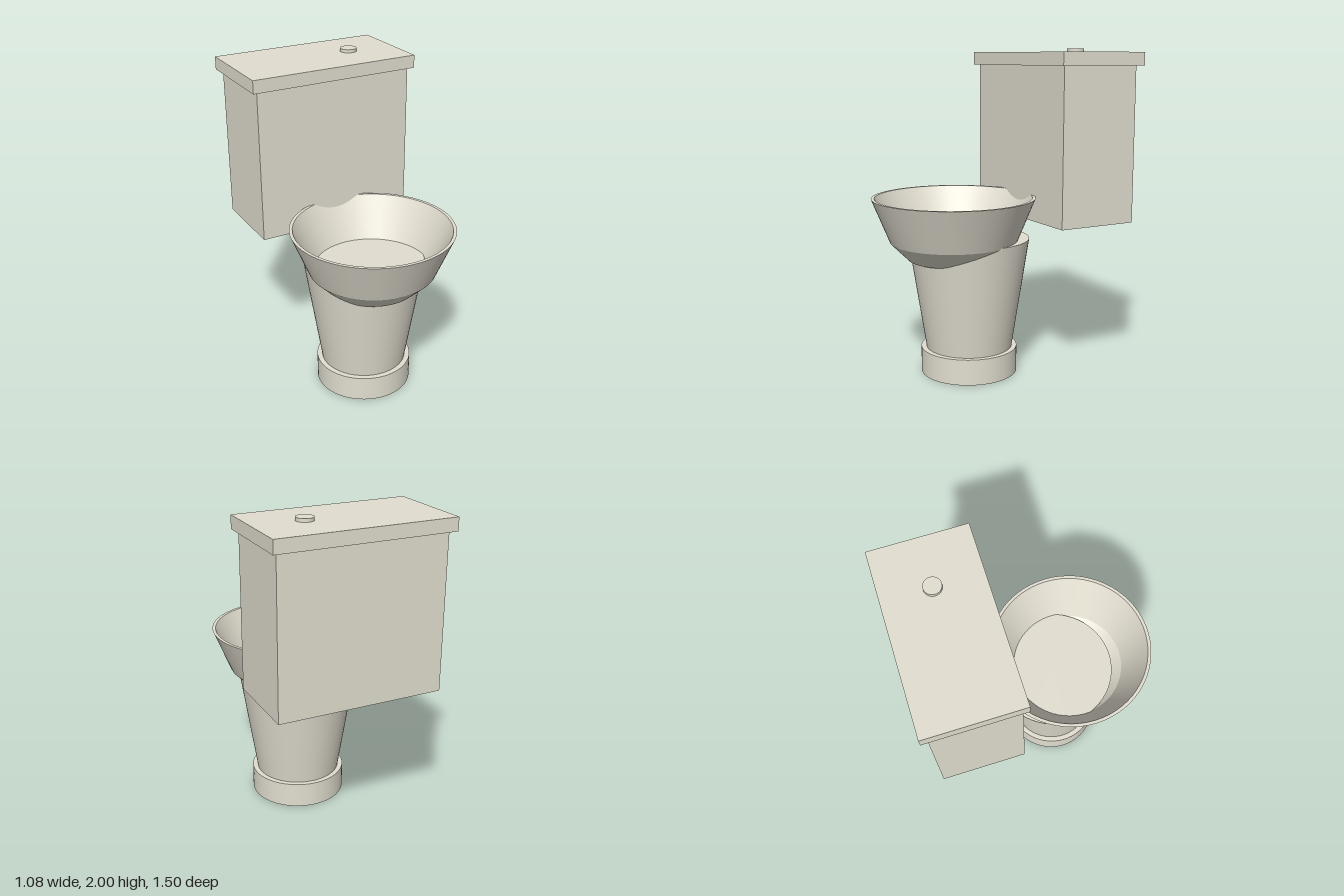
import * as THREE from 'three';
import { toCreasedNormals } from 'three/addons/utils/BufferGeometryUtils.js';

export function createModel() {
  const group = new THREE.Group();
  group.name = 'toilet';
  const porcelain = new THREE.MeshStandardMaterial({ color: 0xe2ded0 });
  porcelain.name = 'porcelain';

  const add = (name, geometry, x, y, z) => {
    const mesh = new THREE.Mesh(geometry, porcelain);
    mesh.name = name;
    mesh.position.set(x, y, z);
    group.add(mesh);
  };
  // Boxes and round parts are placed by the height of their underside
  const box = (name, w, h, d, y, z) =>
    add(name, new THREE.BoxGeometry(w, h, d), 0, y + h / 2, z);
  const round = (name, rTop, rBottom, h, x, y, z) =>
    add(name, new THREE.CylinderGeometry(rTop, rBottom, h, 64), x, y + h / 2, z);

  // Foot and flared pedestal
  round('base', 0.3, 0.3, 0.16, 0, 0, 0.149);
  round('pedestal', 0.375, 0.268, 0.69, 0, 0.16, 0.148);

  // Open bowl: outer wall, rim, inner wall and floor in one profile
  const profile = [
    [0, 0.73], [0.28, 0.73], [0.39, 0.84], [0.5, 1.11],
    [0.48, 1.11], [0.342, 0.83], [0.25, 0.75], [0, 0.75],
  ].map(([r, y]) => new THREE.Vector2(r, y));
  add('bowl', toCreasedNormals(new THREE.LatheGeometry(profile, 64), 0.3), 0, 0, 0.25);

  // Cistern with overhanging lid and flush button
  box('tank', 1.02, 0.95, 0.51, 0.95, -0.46);
  box('tankLid', 1.084, 0.08, 0.575, 1.9, -0.465);
  round('flushButton', 0.052, 0.052, 0.02, 0.235, 1.98, -0.465);

  return group;
}
